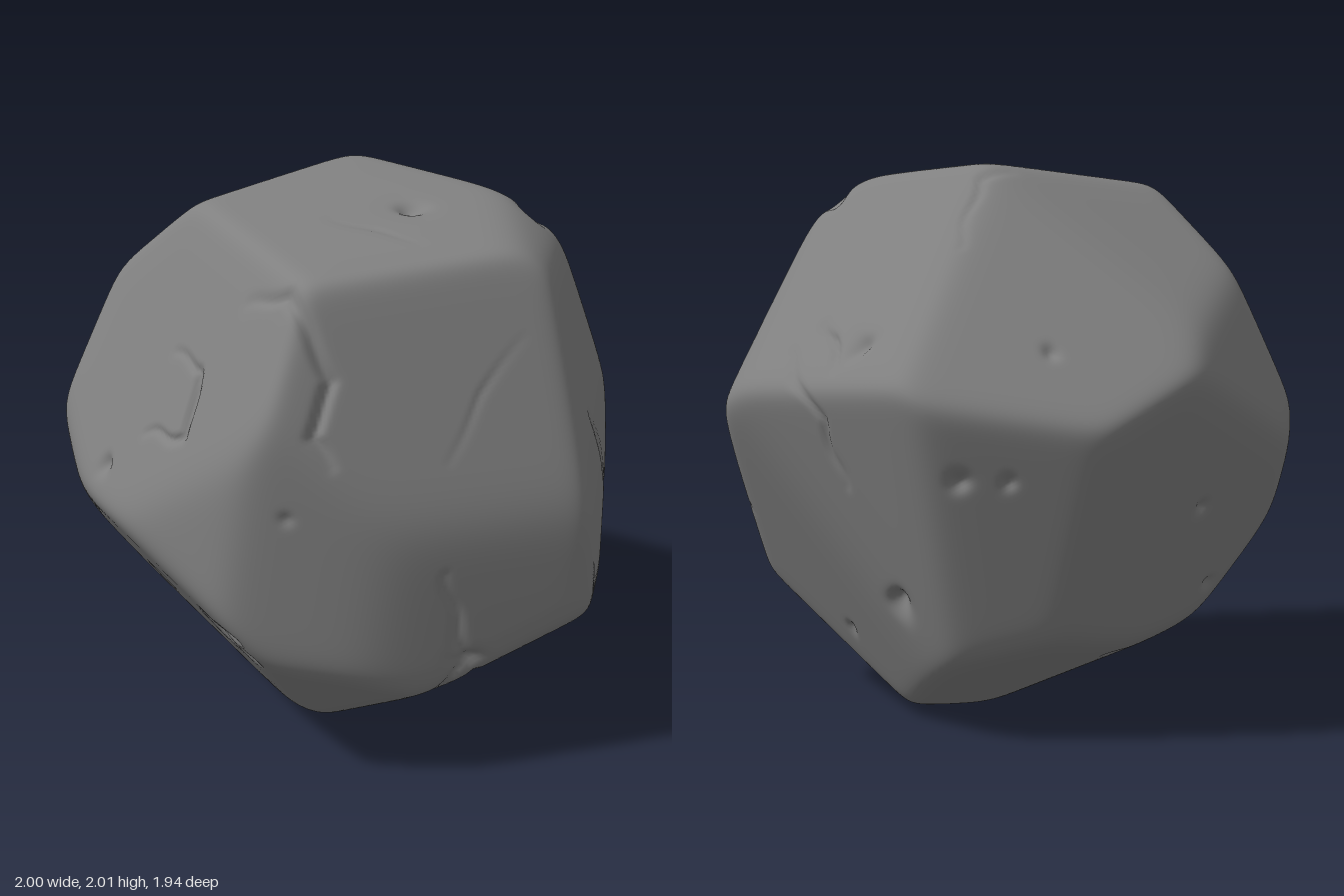
import * as THREE from 'three';
import { mergeVertices } from 'three/addons/utils/BufferGeometryUtils.js';

const V = (x, y, z) => new THREE.Vector3(x, y, z);

// Facets: outward normal (any length) and its plane constant, measured from the rock's middle
const FACETS = [
  [0.03, 1, 0.185, 0.955],      // top
  [0.6, 0.8, 0, 1.11],          // top, left shoulder
  [1, 0.23, -0.025, 0.98],      // left side, upper
  [1, 0, -0.045, 0.98],         // left side, lower
  [0.5, 0.28, 0.865, 0.95],     // front, upper left
  [0.15, -0.1, 1, 0.945],       // front middle
  [-0.45, 0, 0.9, 0.935],       // front, right of middle
  [-0.68, 0.45, 0.72, 0.9],     // front, upper right
  [-1.2, -1.2, 1, 1.62],        // front, lower right
  [0.5, -0.14, 0.86, 0.95],     // front, lower left
  [0.56, -1, 0.2, 1.08],        // underside, left
  [0, -1.18, 1, 1.53],          // underside, front
  [-0.5, -1, 0, 0.99],          // underside, right
  [-0.39, -1, -0.43, 1.03],     // underside, back
  [-0.65, 1, -1.15, 1.4],       // back, upper right
  [-0.69, 1, -0.42, 1.15],      // right shoulder
  [-0.37, -0.33, -1, 0.94],     // back, lower right
  [-1, -0.2, 0.4, 1.06],        // right side, front
  [-1, 0.366, -0.15, 1.025],    // right side, upper
  [-1, -0.414, -0.553, 0.98],   // right side, lower
  [0.5, 1, -1.05, 1.33],        // back, upper left
  [1.3, 1, -1, 1.92],           // back, left corner
  [0.361, -0.33, -1, 0.915],    // back, lower middle
  [0.67, -0.585, -1, 1.13],     // back, lower left
].map(([x, y, z, d]) => V(x, y, z).divideScalar(d));

// Pits: position, radius, depth
const PITS = [
  [0.28, 1.9, 0.15, 0.055, 0.04], [-0.2, 0.56, 0.8, 0.05, 0.045], [-0.27, 0.5, 0.72, 0.06, 0.045],
  [-0.13, 0.48, 0.78, 0.04, 0.025], [-0.62, 0.5, 0.34, 0.045, 0.03], [0.58, 0.46, 0.64, 0.05, 0.035],
  [0.02, 1.05, 0.94, 0.03, 0.012], [0.17, 0.47, -0.68, 0.06, 0.05], [0.53, 0.28, -0.4, 0.03, 0.02],
  [-0.13, 0.97, -0.9, 0.045, 0.03], [-0.28, 0.95, -0.82, 0.035, 0.02], [-0.38, 1.38, -0.66, 0.04, 0.02],
  [-0.73, 0.83, -0.21, 0.04, 0.02], [-0.77, 0.5, -0.02, 0.03, 0.02], [0.43, 0.2, 0.2, 0.04, 0.03],
  [0.33, 0.1, -0.05, 0.05, 0.03], [-0.45, 0.22, -0.2, 0.04, 0.03], [0.7, 1.88, -0.08, 0.06, 0.035],
  [-0.72, 1.02, 0.53, 0.045, 0.025], [0.3, 1.42, -0.83, 0.06, 0.03],
].map(([x, y, z, radius, depth]) => ({ dir: V(x, y - 1, z).normalize(), radius, depth }));

// Cracks: half-width, depth, then the points they run through
const CRACKS = [
  [0.018, 0.022, [-0.55, 1.55, 0.64], [-0.38, 1.5, 0.72], [-0.4, 1.25, 0.82], [-0.6, 1.2, 0.65]],
  [0.02, 0.025, [-0.17, 1.75, 0.74], [0, 1.75, 0.74], [0.16, 1.5, 0.82], [0.1, 1.33, 0.92], [0.18, 1.22, 0.92]],
  [0.018, 0.022, [0.53, 0.82, 0.75], [0.58, 0.45, 0.65], [0.4, 0.33, 0.62]],
  [0.018, 0.018, [0.58, 0.45, 0.62], [0.6, 0.3, 0.4], [0.5, 0.2, 0.2]],
  [0.013, 0.01, [0.88, 1.2, 0.15], [0.96, 0.95, -0.1], [0.96, 0.68, -0.36]],
  [0.018, 0.016, [-0.01, 1.72, -0.58], [0, 1.95, -0.35], [-0.1, 1.97, -0.27]],
  [0.02, 0.02, [0.35, 1.33, -0.83], [0.42, 1.4, -0.72], [0.48, 1.45, -0.62]],
  [0.018, 0.018, [0.6, 1.35, -0.68], [0.4, 1.15, -0.82], [0.35, 0.9, -0.8]],
  [0.013, 0.007, [0.05, 1.84, 0.28], [0.2, 1.83, 0.34], [0.35, 1.82, 0.4]],
  [0.014, 0.006, [0.5, 1.2, 0.68], [0.6, 1.4, 0.58], [0.72, 1.55, 0.48]],
].flatMap(([width, depth, ...pts]) => {
  const dirs = pts.map(([x, y, z]) => V(x, y - 1, z).normalize());
  // Cracks run shallow towards their two ends
  const depths = dirs.map((_, i) => (i === 0 || i === dirs.length - 1 ? depth * 0.25 : depth));
  return dirs.slice(1).map((b, i) => ({ line: new THREE.Line3(dirs[i], b), width, from: depths[i], to: depths[i + 1] }));
});

// Soft intersection of all facets gives flat faces with rounded edges
function radiusAlong(dir) {
  const sharpness = 40;
  let sum = 0;
  for (const f of FACETS) {
    const k = f.dot(dir);
    if (k > 0) sum += k ** sharpness;
  }
  return sum ** (-1 / sharpness);
}

// Depth of pits and cracks at a direction, wobbled so they look natural
const at = new THREE.Vector3();
const nearest = new THREE.Vector3();
function wear(dir) {
  at.set(
    dir.x + 0.012 * Math.sin(23 * dir.y + 17 * dir.z),
    dir.y + 0.012 * Math.sin(21 * dir.z + 19 * dir.x),
    dir.z + 0.012 * Math.sin(25 * dir.x + 16 * dir.y),
  ).normalize();
  let cut = 0;
  for (const p of PITS) {
    const t = at.distanceTo(p.dir) / p.radius;
    if (t < 3) cut = Math.max(cut, p.depth * Math.exp(-t * t * 1.5));
  }
  for (const c of CRACKS) {
    const along = c.line.closestPointToPointParameter(at, true);
    c.line.at(along, nearest).normalize();
    const t = at.distanceTo(nearest) / c.width;
    if (t < 3) cut = Math.max(cut, THREE.MathUtils.lerp(c.from, c.to, along) * Math.exp(-t * t));
  }
  return cut;
}

function rockGeometry() {
  let geo = new THREE.IcosahedronGeometry(1, 80);
  geo.deleteAttribute('uv');
  geo.deleteAttribute('normal');
  geo = mergeVertices(geo, 1e-5);
  const pos = geo.attributes.position;
  const dir = new THREE.Vector3();
  for (let i = 0; i < pos.count; i++) {
    dir.fromBufferAttribute(pos, i).normalize();
    const r = radiusAlong(dir) - wear(dir);
    pos.setXYZ(i, dir.x * r, dir.y * r, dir.z * r);
  }
  // Centre it and stand it on the ground
  geo.computeBoundingBox();
  const { min, max } = geo.boundingBox;
  geo.translate(-(min.x + max.x) / 2, -min.y, -(min.z + max.z) / 2);
  geo.computeVertexNormals();
  return geo;
}

export function createModel() {
  const group = new THREE.Group();
  group.name = 'boulder';
  const rock = new THREE.Mesh(rockGeometry(), new THREE.MeshStandardMaterial({ color: 0x808080 }));
  rock.name = 'rock';
  group.add(rock);
  return group;
}
